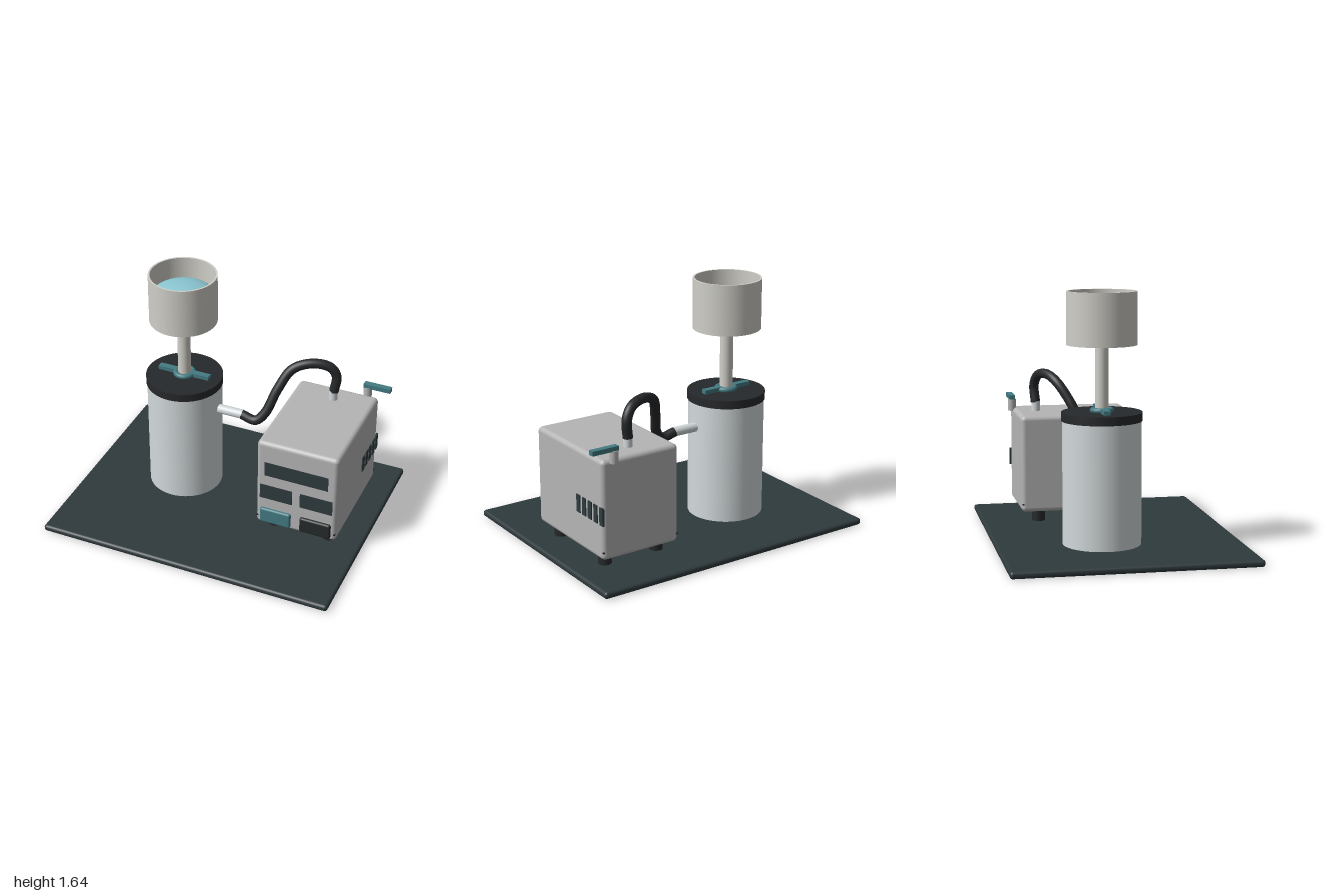
import * as THREE from 'three';
import { RoundedBoxGeometry } from 'three/addons/geometries/RoundedBoxGeometry.js';

const mat = (color, side = THREE.FrontSide) => new THREE.MeshStandardMaterial({ color, side });
const DARK = mat(0x2f3a3d), BLACK = mat(0x26292b), TEAL = mat(0x437a82), STEEL = mat(0xd3dadc);
const CREAM = mat(0xd0cfc8, THREE.DoubleSide), GREY = mat(0xb6b5b5), AQUA = mat(0x8cc8d4);

export function createModel() {
  const model = new THREE.Group();
  model.name = 'vacuumUnit';

  const add = (name, geometry, material, x, y, z, parent = model) => {
    const mesh = new THREE.Mesh(geometry, material);
    mesh.name = name;
    mesh.position.set(x, y, z);
    parent.add(mesh);
    return mesh;
  };
  const group = (name, x, y, z) => {
    const g = new THREE.Group();
    g.name = name;
    g.position.set(x, y, z);
    model.add(g);
    return g;
  };
  const box = (w, h, d) => new THREE.BoxGeometry(w, h, d);
  const rod = (r, h) => new THREE.CylinderGeometry(r, r, h, 48);

  // Base plate
  add('basePlate', new RoundedBoxGeometry(2, 0.045, 1.555, 4, 0.02), DARK, 0, 0.0225, 0);

  // Tank with lid, clamp, stem and cup
  const tank = group('tank', -0.364, 0, -0.11);
  add('tankBody', rod(0.249, 0.79), STEEL, 0, 0.435, 0, tank);
  add('tankLid', rod(0.255, 0.055), BLACK, 0, 0.857, 0, tank);
  add('clampBar', box(0.36, 0.027, 0.042), TEAL, 0, 0.898, 0, tank);
  add('clampRing', new THREE.TorusGeometry(0.058, 0.018, 16, 48), TEAL, 0, 0.895, 0, tank).rotation.x = Math.PI / 2;
  add('stem', rod(0.043, 0.43), CREAM, 0, 1.095, 0, tank);

  const cupProfile = [[0, 1.305], [0.222, 1.305], [0.222, 1.305], [0.222, 1.638], [0.222, 1.638],
    [0.21, 1.638], [0.21, 1.638], [0.21, 1.32], [0.21, 1.32], [0, 1.32]].map(p => new THREE.Vector2(...p));
  add('cup', new THREE.LatheGeometry(cupProfile, 64), CREAM, 0, 0, 0, tank);
  add('cupDome', new THREE.SphereGeometry(0.209, 48, 16, 0, Math.PI * 2, 0, Math.PI / 2), AQUA, 0, 1.475, 0, tank)
    .scale.y = 0.35;

  // Outlet pipe and hose
  add('outletPipe', rod(0.031, 0.2), STEEL, -0.045, 0.67, -0.11).rotation.z = Math.PI / 2;
  const path = new THREE.CatmullRomCurve3([
    [0.05, 0.668, -0.11], [0.147, 0.65, -0.108], [0.205, 0.71, -0.135], [0.26, 0.865, -0.205],
    [0.33, 0.993, -0.285], [0.446, 1.035, -0.34], [0.555, 1.01, -0.382], [0.597, 0.94, -0.398],
    [0.586, 0.825, -0.39],
  ].map(p => new THREE.Vector3(...p)));
  add('hose', new THREE.TubeGeometry(path, 96, 0.032, 20), BLACK, 0, 0, 0);
  for (const [t, dir] of [[0, -1], [1, 1]]) {
    const cap = add('hoseEnd', new THREE.CircleGeometry(0.032, 20), BLACK, 0, 0, 0);
    cap.position.copy(path.getPointAt(t));
    cap.lookAt(cap.position.clone().addScaledVector(path.getTangentAt(t), dir));
  }
  add('hoseSocket', rod(0.029, 0.09), STEEL, 0.584, 0.79, -0.388);

  // Pump housing, origin at its centre line
  const pump = group('pump', 0.5815, 0, -0.1375);
  add('housing', new RoundedBoxGeometry(0.553, 0.65, 0.777, 5, 0.03), GREY, 0, 0.442, 0, pump);
  add('seamStrip', box(0.545, 0.01, 0.77), BLACK, 0, 0.17, 0, pump);
  for (const sx of [-1, 1]) for (const sz of [-1, 1])
    add('foot', rod(0.043, 0.08), BLACK, sx * 0.19, 0.083, sz * 0.265, pump);

  // Front panels and the two buttons
  const front = 0.3885;
  add('topPanel', box(0.433, 0.102, 0.01), DARK, -0.003, 0.566, front, pump);
  for (const s of [-1, 1]) {
    add('middlePanel', box(0.222, 0.106, 0.01), DARK, s * 0.138, 0.383, front, pump);
    add('button', new RoundedBoxGeometry(0.213, 0.112, 0.04, 4, 0.015), s < 0 ? TEAL : BLACK,
      s * 0.138, 0.195, front, pump);
  }

  // Side vents
  for (let i = 0; i < 5; i++)
    add('vent', box(0.012, 0.115, 0.04), DARK, 0.277, 0.41, -0.113 - i * 0.0665, pump);

  // Rear valve with lever
  add('valveStub', rod(0.028, 0.08), GREY, 0.194, 0.785, -0.39, pump);
  add('valveLever', box(0.185, 0.03, 0.04), TEAL, 0.261, 0.838, -0.39, pump);

  return model;
}
